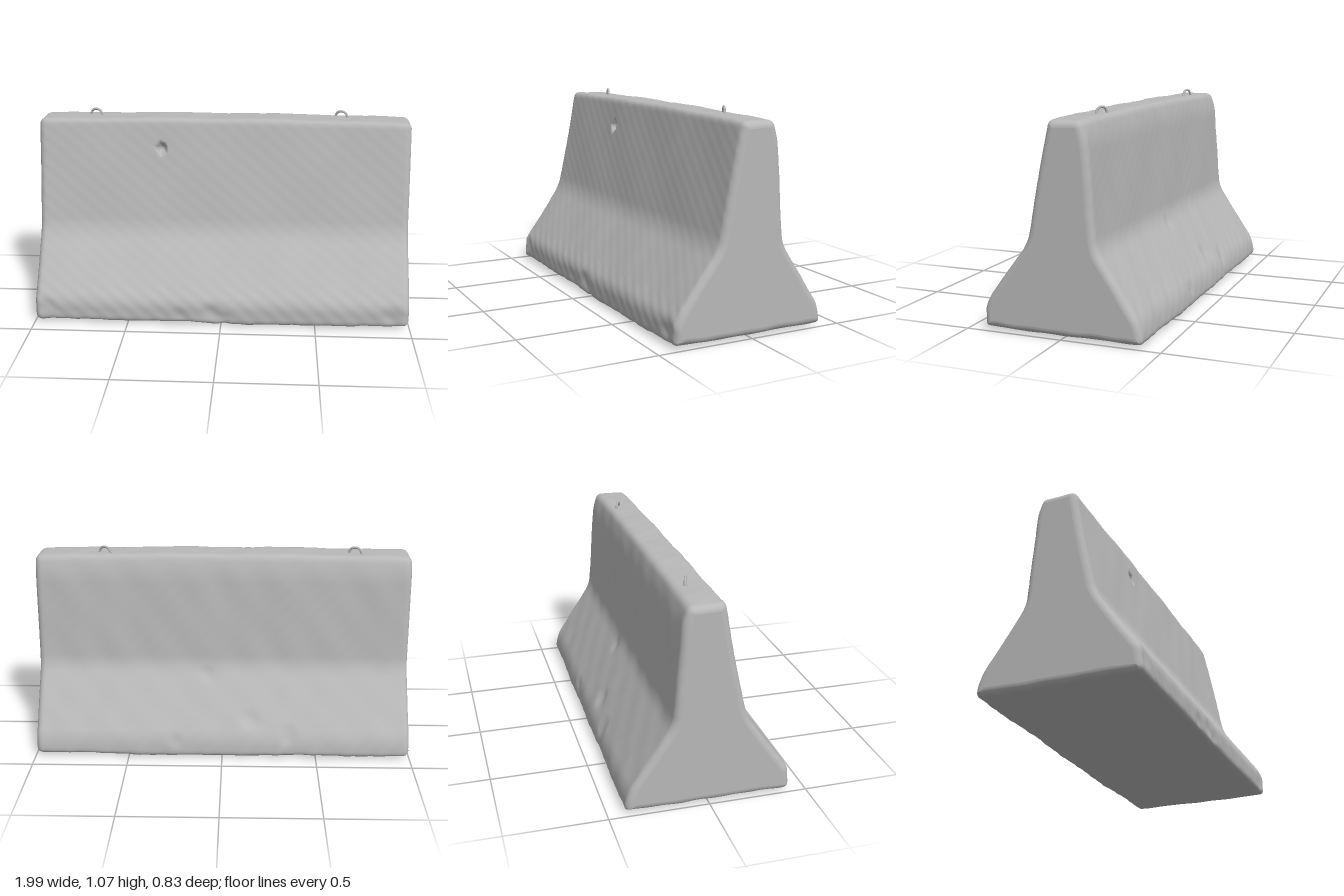
import * as THREE from 'three';
import { mergeVertices } from 'three/addons/utils/BufferGeometryUtils.js';

// Barrier cross-section as [z, y, corner radius], starting mid-underside
const PROFILE = [
  [0, 0.015, 0], [0.412, 0.018, 0.025], [0.412, 0.13, 0.04], [0.178, 0.455, 0.06], [0.06, 1.04, 0.025],
  [-0.112, 1.04, 0.03], [-0.14, 0.95, 0.05], [-0.18, 0.445, 0.05], [-0.402, 0.11, 0.05], [-0.412, 0.018, 0.025],
];

// Weathering chips: [x, y, front/back side, radius, depth]
const CHIPS = [
  [-0.05, 0.08, 1, 0.07, 0.015], [-0.22, 0.06, 1, 0.06, 0.008], [0.02, 0.05, 1, 0.05, 0.01],
  [0.9, 0.08, 1, 0.07, 0.01], [-0.93, 0.1, 1, 0.06, 0.01], [0.08, 0.4, -1, 0.05, 0.008],
  [-0.15, 0.2, -1, 0.06, 0.01], [-0.35, 0.13, -1, 0.07, 0.01], [0.25, 0.1, -1, 0.05, 0.008],
];

function roundedOutline(count) {
  const pts = PROFILE.map(([z, y]) => new THREE.Vector2(z, y));
  const shape = new THREE.Shape().moveTo(pts[0].x, pts[0].y);
  for (let i = 1; i < pts.length; i++) {
    const p = pts[i], r = PROFILE[i][2];
    const toward = q => p.clone().add(q.clone().sub(p).setLength(r));
    const a = toward(pts[i - 1]), b = toward(pts[(i + 1) % pts.length]);
    shape.lineTo(a.x, a.y).quadraticCurveTo(p.x, p.y, b.x, b.y);
  }
  shape.lineTo(pts[0].x, pts[0].y);
  return shape.getSpacedPoints(count).slice(0, count);
}

// Gentle uneven casting surface
function roughness(x, y, z) {
  return 0.0022 * Math.sin(11 * x + 5 * z + 2) * Math.cos(9 * y - 7 * z)
    + 0.0014 * Math.sin(27 * x - 13 * y) * Math.cos(23 * z + 6 * y + 1)
    + (y < 0.2 ? 0.002 : 0.0008) * Math.sin(51 * x + 31 * y) * Math.sin(43 * y - 37 * z + 17 * x);
}

function dent(x, y, z) {
  let d = 0;
  for (const [cx, cy, side, r, depth] of CHIPS) {
    if (z * side < 0.05) continue;
    const t = Math.hypot(x - cx, y - cy) / r;
    if (t < 1) d += depth * (1 - t * t) ** 2;
  }
  // Sharp five-sided hole high on the front
  if (z > 0.03) {
    const dx = x + 0.333, dy = y - 0.89;
    let edge = -1;
    for (let k = 0; k < 5; k++) {
      const a = k * Math.PI * 0.4;
      edge = Math.max(edge, (dx * Math.cos(a) + dy * Math.sin(a)) / 0.03);
    }
    if (edge < 1) d += 0.035 * Math.min(1, (1 - edge) * 1.6);
  }
  return d;
}

function barrierGeometry() {
  const n = 240, outline = roundedOutline(n), radius = 0.035, half = 0.995;
  const normals = outline.map((_, j) => {
    const t = outline[(j + 1) % n].clone().sub(outline[(j + n - 1) % n]).normalize();
    return new THREE.Vector2(t.y, -t.x);
  });

  // Stations along the length: rounded ends, extra sections around the hole
  const xs = [];
  for (let k = 0; k <= 6; k++) {
    const e = half - radius * (1 - Math.sin((1 - k / 6) * Math.PI / 2));
    xs.push(-e, e);
  }
  for (let k = -47; k <= 47; k++) xs.push(k * 0.02);
  for (let x = -0.375; x < -0.29; x += 0.005) xs.push(x);
  const stations = [...new Set(xs.map(x => +x.toFixed(4)))].sort((a, b) => a - b);

  const pos = [], index = [];
  const rings = stations.map(x => {
    const s = Math.max(0, Math.abs(x) - (half - radius)) / radius;
    const inset = radius * (1 - Math.sqrt(Math.max(0, 1 - s * s)));
    return outline.map((p, j) => {
      const move = roughness(x, p.y, p.x) - dent(x, p.y, p.x) - inset;
      let z = p.x + normals[j].x * move, y = p.y + normals[j].y * move;
      // Slight sag below, crown above and taper at the back
      if (y < 0.1) y -= 0.011 * Math.exp(-(((x - 0.25) / 0.4) ** 2)) * (1 - y / 0.1);
      if (y > 0.9) y += (0.006 - 0.012 * x * x) * (y - 0.9) / 0.14;
      if (z < 0) z *= 1 - 0.018 * x;
      pos.push(x, y, z);
      return new THREE.Vector2(z, y);
    });
  });
  for (let i = 0; i < stations.length - 1; i++) {
    for (let j = 0; j < n; j++) {
      const a = i * n + j, b = a + n, c = i * n + (j + 1) % n, d = c + n;
      index.push(a, b, c, b, d, c);
    }
  }

  // Flat end faces with their own vertices
  for (const i of [0, stations.length - 1]) {
    const base = pos.length / 3;
    for (const p of rings[i]) pos.push(stations[i], p.y, p.x);
    for (const [a, b, c] of THREE.ShapeUtils.triangulateShape(rings[i], [])) {
      if (i === 0) index.push(base + a, base + b, base + c);
      else index.push(base + a, base + c, base + b);
    }
  }

  const geo = new THREE.BufferGeometry();
  geo.setAttribute('position', new THREE.Float32BufferAttribute(pos, 3));
  geo.setIndex(index);
  geo.computeVertexNormals();
  return mergeVertices(geo);
}

export function createModel() {
  const group = new THREE.Group();
  const concrete = new THREE.MeshStandardMaterial({ color: 0xb8b8b8 });
  concrete.name = 'concrete grey';

  const body = new THREE.Mesh(barrierGeometry(), concrete);
  body.name = 'barrierBody';
  group.add(body);

  // Lifting loops set into the top
  for (const [name, x, z, turn] of [['rightLiftingLoop', -0.7, -0.045, -0.35], ['leftLiftingLoop', 0.628, -0.056, -0.45]]) {
    const path = new THREE.CatmullRomCurve3([
      [-0.036, -0.03], [-0.034, 0.01], [-0.022, 0.031], [0, 0.038], [0.022, 0.031], [0.034, 0.01], [0.036, -0.03],
    ].map(([u, v]) => new THREE.Vector3(u, v, 0)));
    const loop = new THREE.Mesh(new THREE.TubeGeometry(path, 24, 0.0065, 8), concrete);
    loop.name = name;
    loop.position.set(x, 1.032, z);
    loop.rotation.y = turn;
    group.add(loop);
  }
  return group;
}
